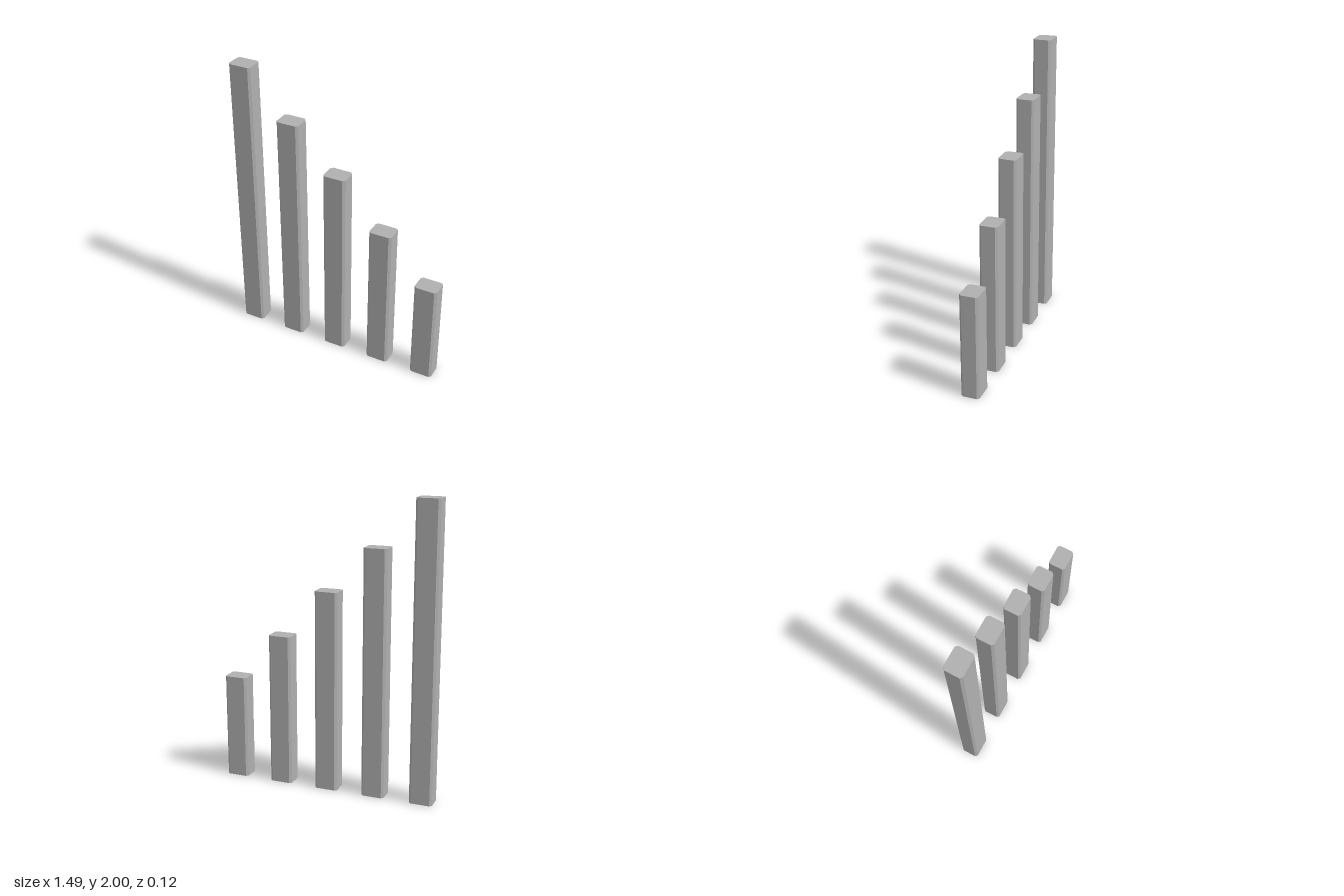
import * as THREE from 'three';

const WIDTH = 0.158, DEPTH = 0.125, CHAMFER = 0.015, SPACING = 0.334;
const HEIGHTS = [2, 1.674, 1.37, 1.042, 0.72];

// Rectangle with cut corners, the plan of every post
function postPlan() {
  const x = WIDTH / 2, y = DEPTH / 2, c = CHAMFER;
  return new THREE.Shape([
    [x - c, -y], [x, -y + c], [x, y - c], [x - c, y],
    [-x + c, y], [-x, y - c], [-x, -y + c], [-x + c, -y],
  ].map(([px, py]) => new THREE.Vector2(px, py)));
}

export function createModel() {
  const model = new THREE.Group();
  model.name = 'steppedPosts';
  const grey = new THREE.MeshStandardMaterial({ color: 0xb0b0b0 });
  grey.name = 'grey';
  const plan = postPlan();

  // Row of upright posts, stepping down towards +x
  HEIGHTS.forEach((height, i) => {
    const geometry = new THREE.ExtrudeGeometry(plan, { depth: height, bevelEnabled: false });
    geometry.rotateX(-Math.PI / 2);
    const post = new THREE.Mesh(geometry, grey);
    post.name = `post${i + 1}`;
    post.position.x = (i - 2) * SPACING;
    model.add(post);
  });
  return model;
}
